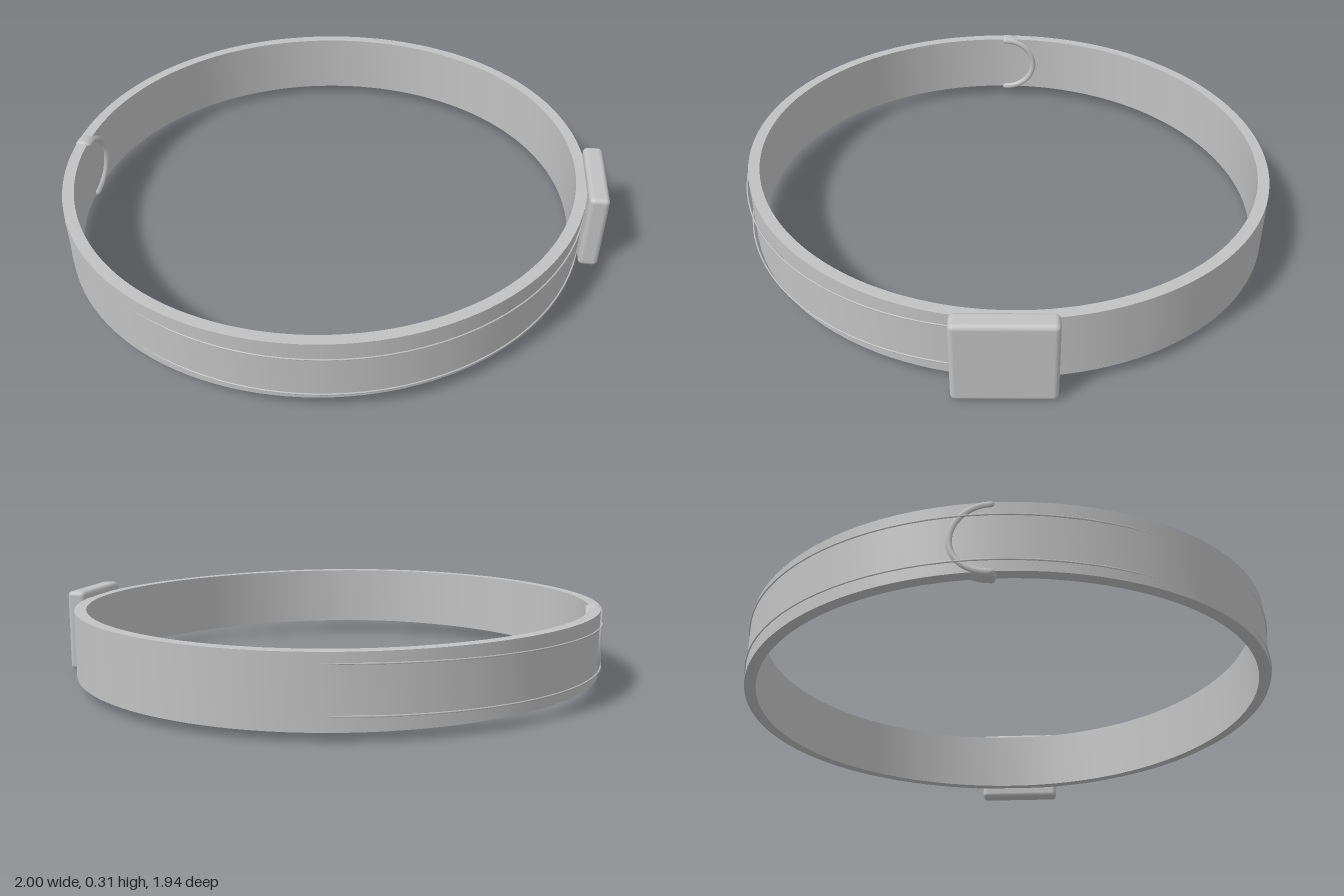
import * as THREE from 'three';
import { toCreasedNormals } from 'three/addons/utils/BufferGeometryUtils.js';
import { RoundedBoxGeometry } from 'three/addons/geometries/RoundedBoxGeometry.js';

export function createModel() {
  const group = new THREE.Group();
  const grey = new THREE.MeshStandardMaterial({ color: 0xc2c2c2 });
  grey.name = 'plain grey';

  const add = (name, geometry, x, y, z) => {
    const mesh = new THREE.Mesh(geometry, grey);
    mesh.name = name;
    mesh.position.set(x, y, z);
    group.add(mesh);
  };

  // Strap: a tall thin ring
  const ring = new THREE.Shape().absarc(0, 0, 0.963, 0, Math.PI * 2);
  ring.holes.push(new THREE.Path().absarc(0, 0, 0.922, 0, Math.PI * 2, true));
  let strap = new THREE.ExtrudeGeometry(ring, { depth: 0.238, bevelEnabled: false, curveSegments: 64 });
  strap.rotateX(-Math.PI / 2);
  // Worn shape: a little longer on one diagonal, raised in front and dropped behind
  const p = strap.attributes.position;
  for (let i = 0; i < p.count; i++) {
    const x = p.getX(i), z = p.getZ(i);
    const k = 1 - 0.026 * x * z / (x * x + z * z);
    p.setXYZ(i, x * k, p.getY(i) + 0.013 * z ** 3, z * k);
  }
  strap = toCreasedNormals(strap, 0.6);
  add('strap', strap, -0.028, 0.043, -0.007);

  // Two fine edge cords running round the outside
  for (const [name, y] of [['upperCord', 0.235], ['lowerCord', 0.08]]) {
    const cord = new THREE.TorusGeometry(0.963, 0.003, 6, 96);
    cord.rotateX(Math.PI / 2);
    add(name, cord, -0.034, y, 0);
  }

  // Buckle plate on the left side
  add('bucklePlate', new RoundedBoxGeometry(0.072, 0.306, 0.336, 3, 0.018), 0.964, 0.156, -0.002);

  // Half-round keeper loop opposite the buckle, curved with the strap and open towards the front
  const points = [];
  for (let i = 0; i <= 16; i++) {
    const a = Math.PI * (i / 16 - 0.5);
    const z = -0.125 * Math.cos(a);
    points.push(new THREE.Vector3(0.28 * z * z, 0.116 * Math.sin(a), z));
  }
  const loop = new THREE.TubeGeometry(new THREE.CatmullRomCurve3(points), 32, 0.016, 10);
  loop.scale(2, 1, 1);
  add('keeperLoop', loop, -0.967, 0.158, 0.005);
  for (const s of [-1, 1]) {
    const tip = new THREE.SphereGeometry(0.016, 12, 8);
    tip.scale(2, 1, 1);
    add('keeperTip', tip, -0.967, 0.158 + s * 0.116, 0.005);
  }

  return group;
}
